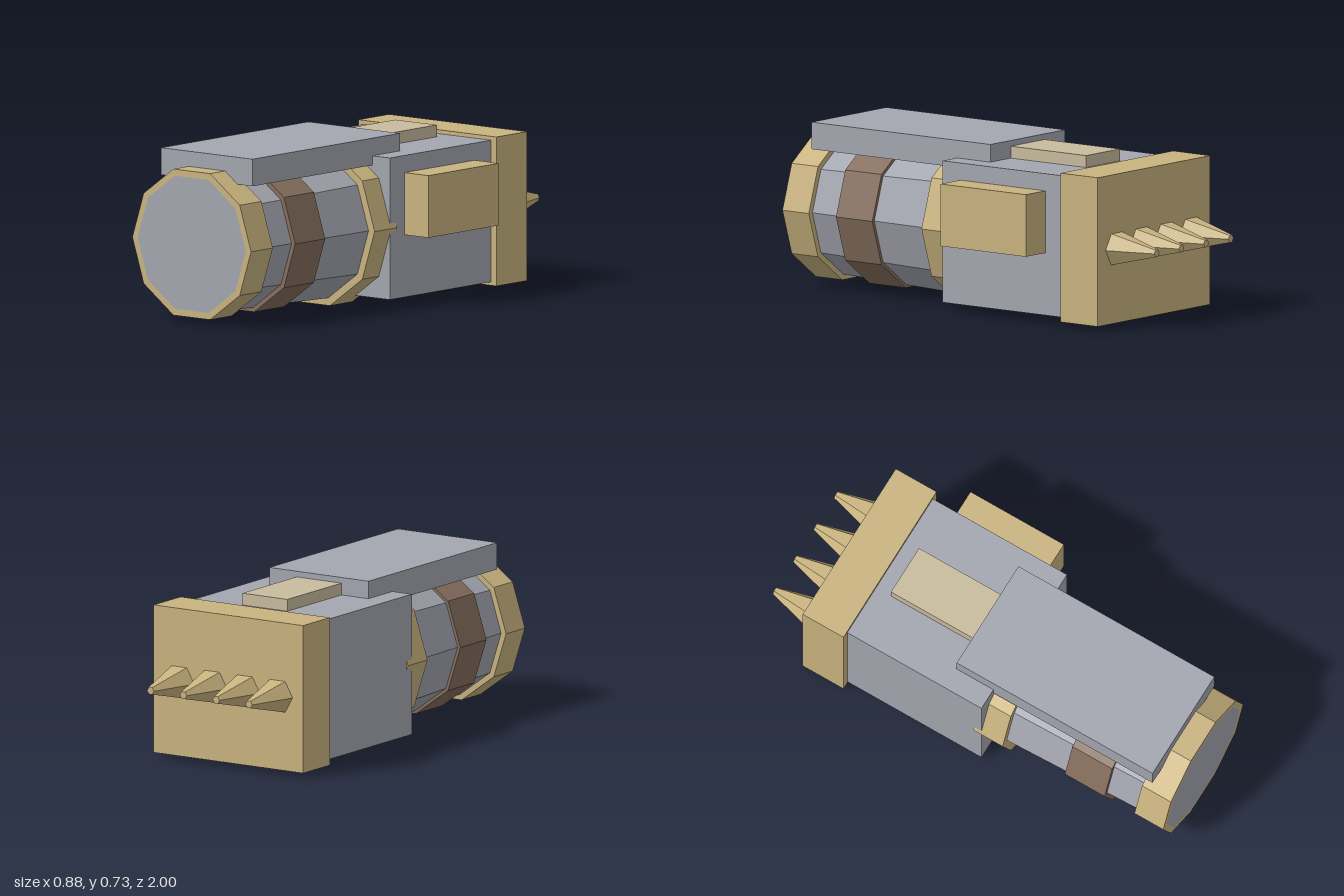
import * as THREE from 'three';

export function createModel() {
  const model = new THREE.Group();
  model.name = 'cannon';

  const mat = (name, color) => {
    const m = new THREE.MeshStandardMaterial({ color, flatShading: true });
    m.name = name;
    return m;
  };
  const grey = mat('steelGrey', 0xa4a6b0);
  const gold = mat('brassGold', 0xc9b37f);
  const tan = mat('paleTan', 0xc8bb9e);
  const brown = mat('bandBrown', 0x866f5e);

  const CX = -0.053, CY = 0.35; // barrel axis

  const add = (name, geometry, material) => {
    const mesh = new THREE.Mesh(geometry, material);
    mesh.name = name;
    model.add(mesh);
    return mesh;
  };

  // Box given by its limits on each axis
  const box = (name, material, [x0, x1], [y0, y1], [z0, z1]) => {
    const mesh = add(name, new THREE.BoxGeometry(x1 - x0, y1 - y0, z1 - z0), material);
    mesh.position.set((x0 + x1) / 2, (y0 + y1) / 2, (z0 + z1) / 2);
  };

  // Solid tapered prism along z, with corners on the x axis
  const prism = (name, material, sides, rFront, rBack, z0, z1, x = CX) => {
    const g = new THREE.CylinderGeometry(rFront, rBack, z1 - z0, sides);
    g.rotateY(Math.PI / 2).rotateX(Math.PI / 2);
    add(name, g, material).position.set(x, CY, (z0 + z1) / 2);
  };

  // Ten-sided hollow ring along z
  const ring = (name, material, rIn, rOut, z0, z1) => {
    const profile = [[rIn, z0], [rOut, z0], [rOut, z1], [rIn, z1], [rIn, z0]]
      .map(([r, z]) => new THREE.Vector2(r, z));
    const g = new THREE.LatheGeometry(profile, 10);
    g.rotateY(Math.PI / 2).rotateX(Math.PI / 2);
    add(name, g, material).position.set(CX, CY, 0);
  };

  // Rear housing and its plates
  box('housing', grey, [-0.411, 0.305], [0.04, 0.658], [-0.58, 0.1]);
  box('rearPlate', gold, [-0.443, 0.336], [0.025, 0.675], [-0.78, -0.575]);
  box('topRail', grey, [-0.311, 0.206], [0.617, 0.735], [-0.085, 0.9]);
  box('topPad', tan, [-0.17, 0.064], [0.64, 0.71], [-0.5, -0.07]);
  box('sideBlock', gold, [0.29, 0.44], [0.312, 0.583], [-0.467, 0.003]);

  // Barrel with bands
  prism('barrel', grey, 10, 0.305, 0.335, 0.08, 1);
  ring('rearBand', gold, 0.3, 0.365, 0.06, 0.21);
  ring('middleBand', brown, 0.3, 0.335, 0.505, 0.705);
  ring('muzzleBand', gold, 0.305, 0.335, 0.855, 1);

  // Row of rear spikes
  for (let i = 0; i < 4; i++) {
    prism('spike' + (i + 1), gold, 6, 0.08, 0.018, -1, -0.775, -0.31 + i * 0.171);
  }

  return model;
}
